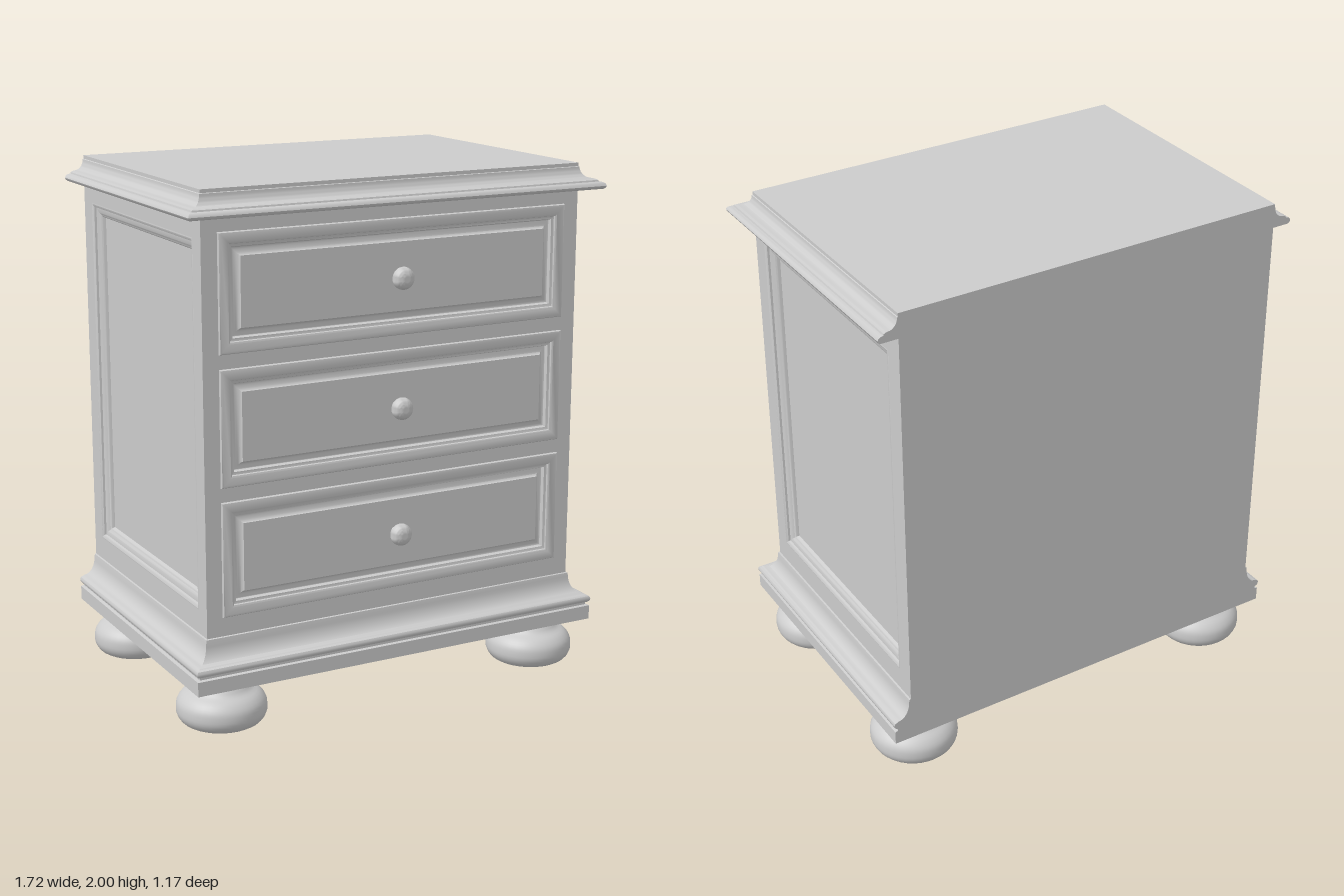
import * as THREE from 'three';
import { toCreasedNormals } from 'three/addons/utils/BufferGeometryUtils.js';

const W = 0.78, FRONT = 0.51, BACK = -0.585; // carcass half width, front and back planes
const material = new THREE.MeshStandardMaterial({ color: 0xcccccc });

function add(parent, name, geometry, x = 0, y = 0, z = 0) {
  const mesh = new THREE.Mesh(geometry, material);
  mesh.name = name;
  mesh.position.set(x, y, z);
  parent.add(mesh);
  return mesh;
}

// Skin a stack of four-cornered rings and cap both ends
function loft(rings) {
  const p = [];
  const quad = (a, b, c, d) => p.push(...a, ...b, ...c, ...a, ...c, ...d);
  for (let r = 0; r < rings.length - 1; r++) {
    for (let i = 0; i < 4; i++) {
      const j = (i + 1) % 4;
      quad(rings[r][i], rings[r][j], rings[r + 1][j], rings[r + 1][i]);
    }
  }
  const first = rings[0], last = rings[rings.length - 1];
  quad(first[3], first[2], first[1], first[0]);
  quad(...last);
  const g = new THREE.BufferGeometry();
  g.setAttribute('position', new THREE.Float32BufferAttribute(p, 3));
  return toCreasedNormals(g, 0.6);
}

// Moulding mitred round front and sides, flush at the back; profile = [offset, y]
const moulding = (profile) => loft(profile.map(([o, y]) => [
  [W + o, y, FRONT + o], [W + o, y, BACK], [-W - o, y, BACK], [-W - o, y, FRONT + o],
]));

// Framed panel facing +z; profile = [inset, z]
const panel = (w, h, profile) => loft(profile.map(([t, z]) => {
  const x = w / 2 - t, y = h / 2 - t;
  return [[x, -y, z], [x, y, z], [-x, y, z], [-x, -y, z]];
}));

// Quarter-ellipse from (u0,v0) to (u1,v1), leaving along u
function arc(u0, v0, u1, v1, n = 8) {
  return Array.from({ length: n + 1 }, (_, i) => {
    const a = (i / n) * Math.PI / 2;
    return [u0 + (u1 - u0) * Math.sin(a), v0 + (v1 - v0) * (1 - Math.cos(a))];
  });
}

// Flat frame with rectangular openings; rectangles = [x0, y0, x1, y1]
function frame(outer, openings, depth) {
  const corners = ([x0, y0, x1, y1]) => [[x0, y0], [x1, y0], [x1, y1], [x0, y1]]
    .map(([x, y]) => new THREE.Vector2(x, y));
  const shape = new THREE.Shape(corners(outer));
  shape.holes = openings.map((o) => new THREE.Path(corners(o).reverse()));
  return new THREE.ExtrudeGeometry(shape, { depth, bevelEnabled: false });
}

const lathe = (points, segments) => toCreasedNormals(new THREE.LatheGeometry(
  new THREE.SplineCurve(points.map(([r, y]) => new THREE.Vector2(r, y))).getPoints(28), segments), 0.7);

export function createModel() {
  const model = new THREE.Group();
  model.name = 'chestOfDrawers';
  const drawerY = [1.633, 1.148, 0.663], drawerW = 1.436, drawerH = 0.432;
  const low = 0.36, high = 1.92, thick = 0.05;

  // Carcass
  add(model, 'carcassCore', new THREE.BoxGeometry(2 * (W - thick), high - low, FRONT - thick - BACK),
    0, (high + low) / 2, (FRONT - thick + BACK) / 2);
  const hw = drawerW / 2 - 0.01, hh = drawerH / 2 - 0.01;
  add(model, 'frontFrame', frame([-W, low, W, high],
    drawerY.map((y) => [-hw, y - hh, hw, y + hh]), thick), 0, 0, FRONT - thick);

  // Side frames with recessed panels
  const midY = 1.145, midZ = -0.034, panelW = 0.948, panelH = 1.36;
  const sideProfile = [[0, -0.045], [0, 0], [0.004, 0.001], [0.014, -0.004], [0.016, -0.012],
    [0.034, -0.014], ...arc(0.036, -0.02, 0.052, -0.03, 4).slice(1), [0.054, -0.035]];
  for (const side of [1, -1]) {
    const group = new THREE.Group();
    group.name = side > 0 ? 'leftSide' : 'rightSide';
    group.position.x = side * W;
    group.rotation.y = side * Math.PI / 2;
    const edges = [-side * (FRONT - thick), -side * BACK].sort((a, b) => a - b);
    const c = -side * midZ;
    add(group, 'sideFrame', frame([edges[0], low, edges[1], high],
      [[c - panelW / 2, midY - panelH / 2, c + panelW / 2, midY + panelH / 2]], thick), 0, 0, -thick);
    add(group, 'sidePanel', panel(panelW, panelH, sideProfile), c, midY, 0);
    model.add(group);
  }

  // Crown moulding with the top
  add(model, 'crown', moulding([
    [0, 1.905], [0.068, 1.905], [0.074, 1.909], [0.078, 1.917], [0.074, 1.926], [0.066, 1.931],
    [0.056, 1.932], [0.054, 1.938], [0.046, 1.942],
    ...arc(0.04, 1.943, 0.003, 1.985), [0, 1.987], [0, 2],
  ]));

  // Base plinth, bead and cove
  add(model, 'base', moulding([
    [0.07, 0.19], [0.07, 0.245], [0.058, 0.248], [0.058, 0.258], [0.066, 0.26], [0.072, 0.268],
    [0.073, 0.276], [0.069, 0.284], [0.06, 0.288],
    ...arc(0.054, 0.291, 0.008, 0.36), [0.006, 0.373], [0, 0.375],
  ]));

  // Drawers with raised fields and round knobs
  const drawerProfile = [[0, -0.04], [0, 0.004], [0.003, 0.009], [0.01, 0.011], [0.036, 0.011],
    [0.042, 0.007], [0.044, 0.001], [0.054, -0.001], [0.058, -0.014],
    ...arc(0.06, -0.015, 0.088, 0, 6)];
  const drawerGeo = panel(drawerW, drawerH, drawerProfile);
  const knobGeo = lathe([[0.024, -0.01], [0.02, 0.008], [0.017, 0.022], [0.036, 0.026], [0.042, 0.037],
    [0.038, 0.055], [0.022, 0.067], [0, 0.071]], 28).rotateX(Math.PI / 2);
  drawerY.forEach((y, i) => {
    add(model, `drawerFront${i + 1}`, drawerGeo, 0, y, FRONT);
    add(model, `knob${i + 1}`, knobGeo, 0, y, FRONT);
  });

  // Bun feet
  const footGeo = lathe([[0, 0], [0.1, 0.001], [0.145, 0.012], [0.167, 0.04], [0.17, 0.07], [0.164, 0.096],
    [0.144, 0.12], [0.115, 0.137], [0.1, 0.155], [0.088, 0.172], [0.085, 0.2]], 36);
  for (const x of [-0.68, 0.68]) {
    for (const z of [0.407, -0.414]) add(model, 'bunFoot', footGeo, x, 0, z);
  }
  return model;
}
